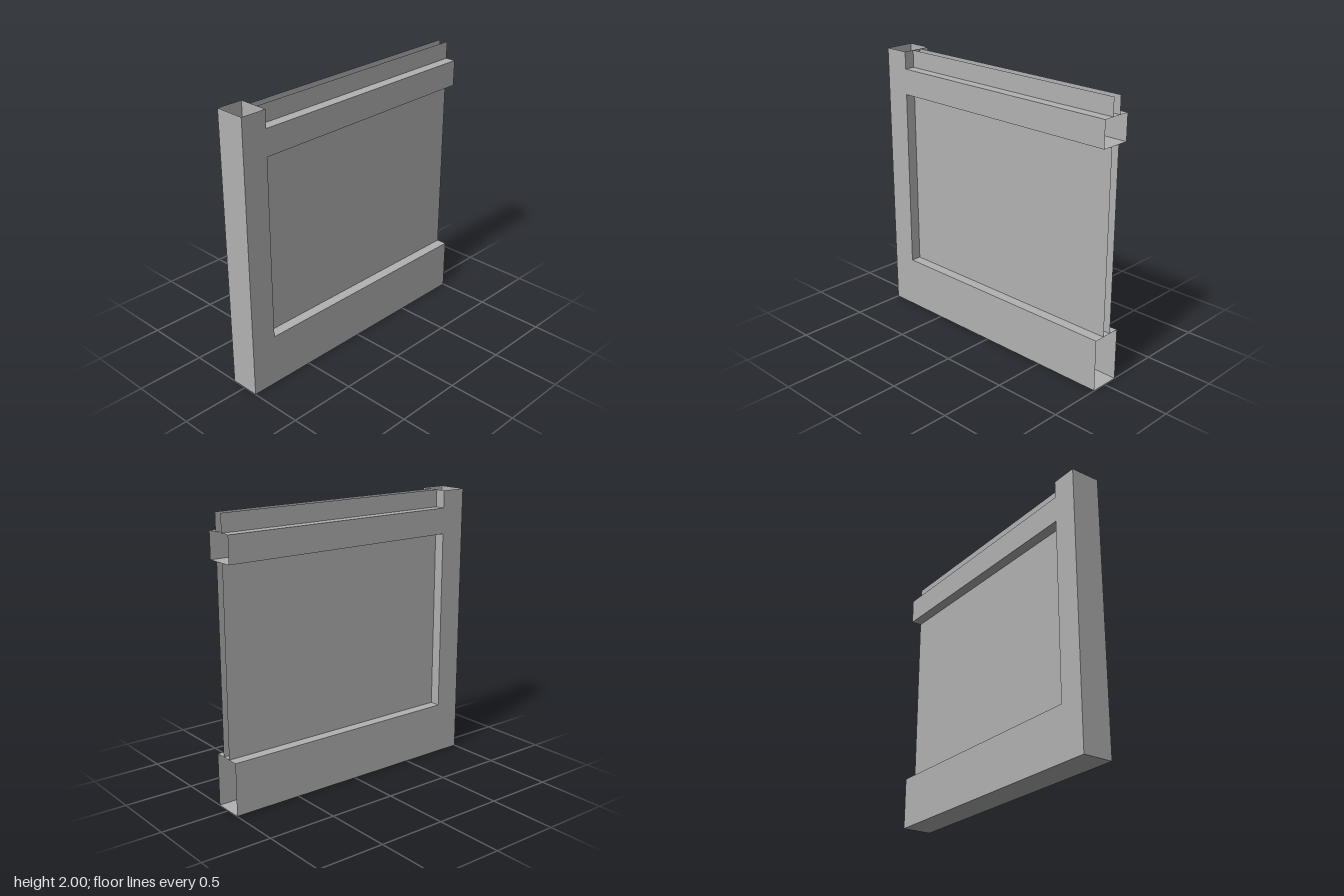
import * as THREE from 'three';

// Main dimensions
const HALF_DEPTH = 0.109;   // frame faces
const PANEL_Z = 0.033;      // recessed panel sheets
const POST = -0.8125;       // inner edge of the side post
const BOTTOM = 0.375;       // top of the bottom rail
const RAIL_LOW = 1.6875;    // underside of the upper rail
const RAIL_HIGH = 1.875;    // top of the upper rail

export function createModel() {
  const model = new THREE.Group();
  const grey = new THREE.MeshStandardMaterial({ color: 0xb2b2b2, side: THREE.DoubleSide });
  grey.name = 'plain grey';

  const add = (name, geometry, parent = model) => {
    const mesh = new THREE.Mesh(geometry, grey);
    mesh.name = name;
    parent.add(mesh);
    return mesh;
  };

  // Flat sheet facing +z, turned outward for the back side
  const sheet = (name, points, z) => {
    const shape = new THREE.Shape(points.map(([x, y]) => new THREE.Vector2(x, y)));
    const geometry = new THREE.ShapeGeometry(shape);
    if (z < 0) geometry.scale(1, 1, -1);
    add(name, geometry).position.z = z;
  };

  // Thin walls following an open path, spanning the depth of the frame
  const walls = (name, path) => {
    const group = new THREE.Group();
    group.name = name;
    for (let i = 0; i < path.length - 1; i++) {
      const [ax, ay] = path[i];
      const [bx, by] = path[i + 1];
      const geometry = new THREE.PlaneGeometry(Math.hypot(bx - ax, by - ay), 2 * HALF_DEPTH);
      geometry.rotateX(-Math.PI / 2);
      geometry.rotateZ(Math.atan2(by - ay, bx - ax));
      geometry.translate((ax + bx) / 2, (ay + by) / 2, 0);
      add(name + 'Wall', geometry, group);
    }
    model.add(group);
  };

  // Post with two rails, as one flat face
  const frameOutline = [
    [-1, 0], [1, 0], [1, BOTTOM], [POST, BOTTOM], [POST, RAIL_LOW], [1, RAIL_LOW],
    [1, RAIL_HIGH], [POST, RAIL_HIGH], [POST, 2], [-1, 2],
  ];
  const rectangle = (y0, y1) => [[POST, y0], [1, y0], [1, y1], [POST, y1]];

  for (const [label, side] of [['front', 1], ['back', -1]]) {
    sheet(label + 'Frame', frameOutline, side * HALF_DEPTH);
    sheet(label + 'MainPanel', rectangle(BOTTOM, RAIL_LOW), side * PANEL_Z);
    sheet(label + 'TopPanel', rectangle(RAIL_HIGH, 2), side * PANEL_Z);
  }

  // Frame edges; the rail ends and the post top stay open
  walls('outerEdge', [[1, 0], [-1, 0], [-1, 2]]);
  walls('mainOpening', [[1, RAIL_LOW], [POST, RAIL_LOW], [POST, BOTTOM], [1, BOTTOM]]);
  walls('topOpening', [[POST, 2], [POST, RAIL_HIGH], [1, RAIL_HIGH]]);

  return model;
}
